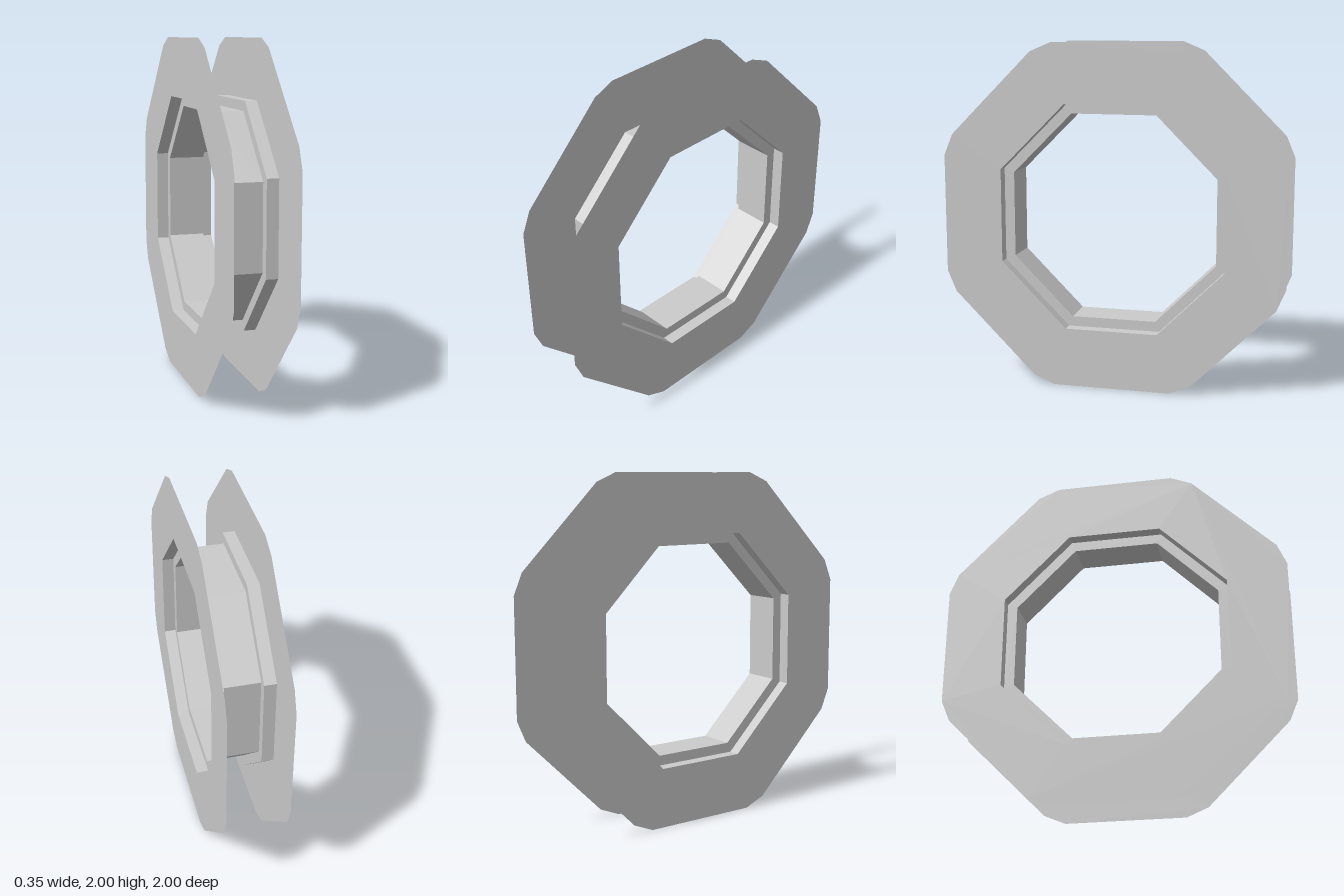
import * as THREE from 'three';

const material = new THREE.MeshStandardMaterial({
  color: 0xcccccc, flatShading: true, side: THREE.DoubleSide,
});
const CORNER = Math.cos(Math.PI / 8); // apothem to corner radius of an octagon
const OUTER = 0.655, INNER = 0.597;   // apothems of the stepped rim wall
const FACE_X = 0.177, STEP_X = 0.108;

function octagon(apothem) {
  return Array.from({ length: 8 }, (_, i) => {
    const a = Math.PI / 8 + (i * Math.PI) / 4;
    return new THREE.Vector2(Math.cos(a), Math.sin(a)).multiplyScalar(apothem / CORNER);
  });
}

// Octagon with every corner cut by a short bevel around the diagonal
function flangeOutline() {
  const quarter = [[1, 0.345], [0.948, 0.469], [0.469, 0.948], [0.345, 1]];
  const points = [];
  for (let q = 0; q < 4; q++) {
    for (const [x, y] of quarter) {
      points.push(new THREE.Vector2(x, y).rotateAround(new THREE.Vector2(), (q * Math.PI) / 2));
    }
  }
  return points;
}

function add(group, name, geometry, x) {
  const mesh = new THREE.Mesh(geometry, material);
  mesh.name = name;
  mesh.position.set(x, 1, 0);
  group.add(mesh);
}

// Flat sheet with an octagonal hole, facing outward along x
function sheet(outline, holeApothem, side) {
  const shape = new THREE.Shape(outline);
  shape.holes.push(new THREE.Path(octagon(holeApothem)));
  return new THREE.ShapeGeometry(shape).rotateY((side * Math.PI) / 2);
}

// Open eight-sided wall around the x axis
function wall(apothem, width) {
  const r = apothem / CORNER;
  return new THREE.CylinderGeometry(r, r, width, 8, 1, true, Math.PI / 8).rotateZ(Math.PI / 2);
}

export function createModel() {
  const group = new THREE.Group();
  group.name = 'flangedRim';

  // Central channel
  add(group, 'channelWall', wall(INNER, 2 * STEP_X), 0);

  // Step, shoulder wall and broad flange on each side
  for (const side of [1, -1]) {
    const label = side > 0 ? 'left' : 'right';
    add(group, label + 'Step', sheet(octagon(OUTER), INNER, side), side * STEP_X);
    add(group, label + 'Shoulder', wall(OUTER, FACE_X - STEP_X), (side * (FACE_X + STEP_X)) / 2);
    add(group, label + 'Flange', sheet(flangeOutline(), OUTER, side), side * FACE_X);
  }
  return group;
}
